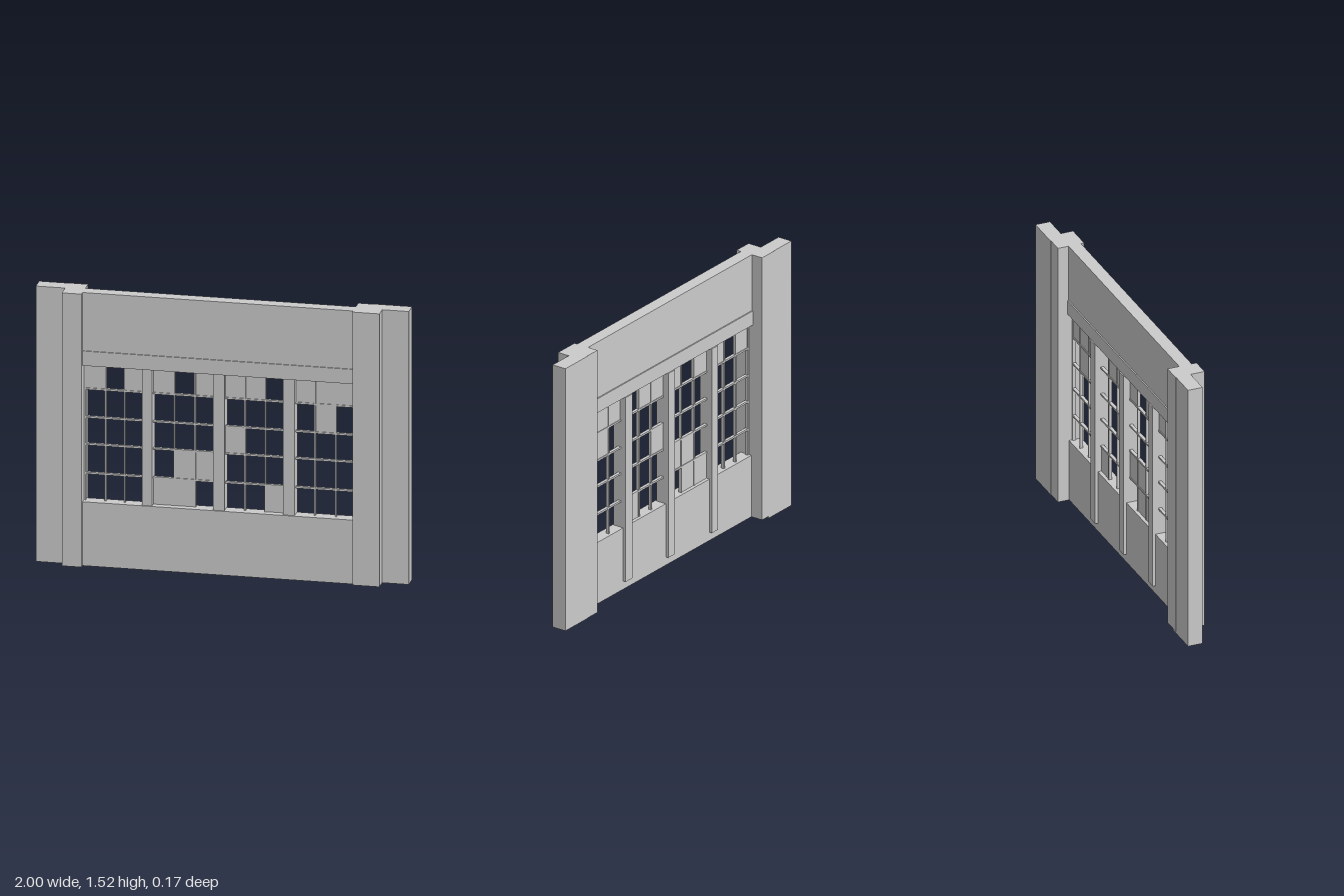
import * as THREE from 'three';

const material = new THREE.MeshStandardMaterial({ color: 0xcccccc, flatShading: true });

// Box given by its limits on each axis
function box(parent, name, [x0, x1], [y0, y1], [z0, z1]) {
  const mesh = new THREE.Mesh(new THREE.BoxGeometry(x1 - x0, y1 - y0, z1 - z0), material);
  mesh.position.set((x0 + x1) / 2, (y0 + y1) / 2, (z0 + z1) / 2);
  mesh.name = name;
  parent.add(mesh);
}

function group(parent, name) {
  const g = new THREE.Group();
  g.name = name;
  parent.add(g);
  return g;
}

export function createModel() {
  const model = new THREE.Group();
  model.name = 'factoryWindowWall';
  const top = 1.525, base = 0.013, sill = 0.367, head = 1.122;
  const left = -0.738, right = 0.712;

  // Stepped end pillars: rear slab and front pilaster
  const pillars = group(model, 'pillars');
  box(pillars, 'rightSlab', [-1, -0.8], [0, top], [-0.083, 0]);
  box(pillars, 'rightPilaster', [-0.843, left], [base, top], [-0.086, 0.08]);
  box(pillars, 'leftSlab', [0.8, 1], [base, top], [-0.083, 0]);
  box(pillars, 'leftPilasterBack', [right, 0.8], [base, top], [-0.08, 0]);
  box(pillars, 'leftPilaster', [right, 0.857], [base, top], [-0.03, 0.07]);

  // Solid wall below and above the window band, with a lintel
  box(model, 'lowerWall', [left, right], [base, sill], [-0.016, 0.054]);
  box(model, 'upperWall', [left, right], [1.2, top], [-0.019, 0.052]);
  box(model, 'lintel', [left, right], [head, 1.203], [-0.026, 0.058]);

  // Posts between the bays, running down the back of the lower wall
  const posts = group(model, 'posts');
  for (const span of [[-0.42, -0.367], [-0.04, 0.02], [0.335, 0.397]]) {
    box(posts, 'post', span, [0.06, head], [-0.032, 0.046]);
  }

  // Window bays: column edges, and blocked panes as [column, row] from the bottom
  const rows = [sill, 0.515, 0.675, 0.825, 0.982, head];
  const bays = [
    { cols: [-0.73, -0.623, -0.52, -0.42], blocked: [[0, 4], [2, 4]] },
    { cols: [-0.367, -0.255, -0.143, -0.04], blocked: [[0, 4], [2, 4], [1, 1], [2, 1], [0, 0], [1, 0]] },
    { cols: [0.02, 0.125, 0.233, 0.335], blocked: [[0, 4], [1, 4], [0, 2], [2, 0]] },
    { cols: [0.397, 0.5, 0.612, 0.705], blocked: [[0, 4], [1, 4], [2, 4], [1, 3]] },
  ];
  for (const { cols, blocked } of bays) {
    const bay = group(model, 'windowBay');
    for (const x of cols.slice(1, 3)) {
      box(bay, 'verticalBar', [x - 0.004, x + 0.004], [sill, head], [0, 0.018]);
    }
    for (const y of rows.slice(1, 5)) {
      box(bay, 'horizontalBar', [cols[0], cols[3]], [y - 0.005, y + 0.005], [0, 0.018]);
    }
    for (const [c, r] of blocked) {
      box(bay, 'blockedPane', [cols[c], cols[c + 1]], [rows[r], rows[r + 1]], [0.004, 0.014]);
    }
  }

  // Thin jambs against the pillars
  box(model, 'rightJamb', [left, -0.728], [sill, head], [0, 0.02]);
  box(model, 'leftJamb', [0.703, right], [sill, head], [0, 0.02]);

  return model;
}
